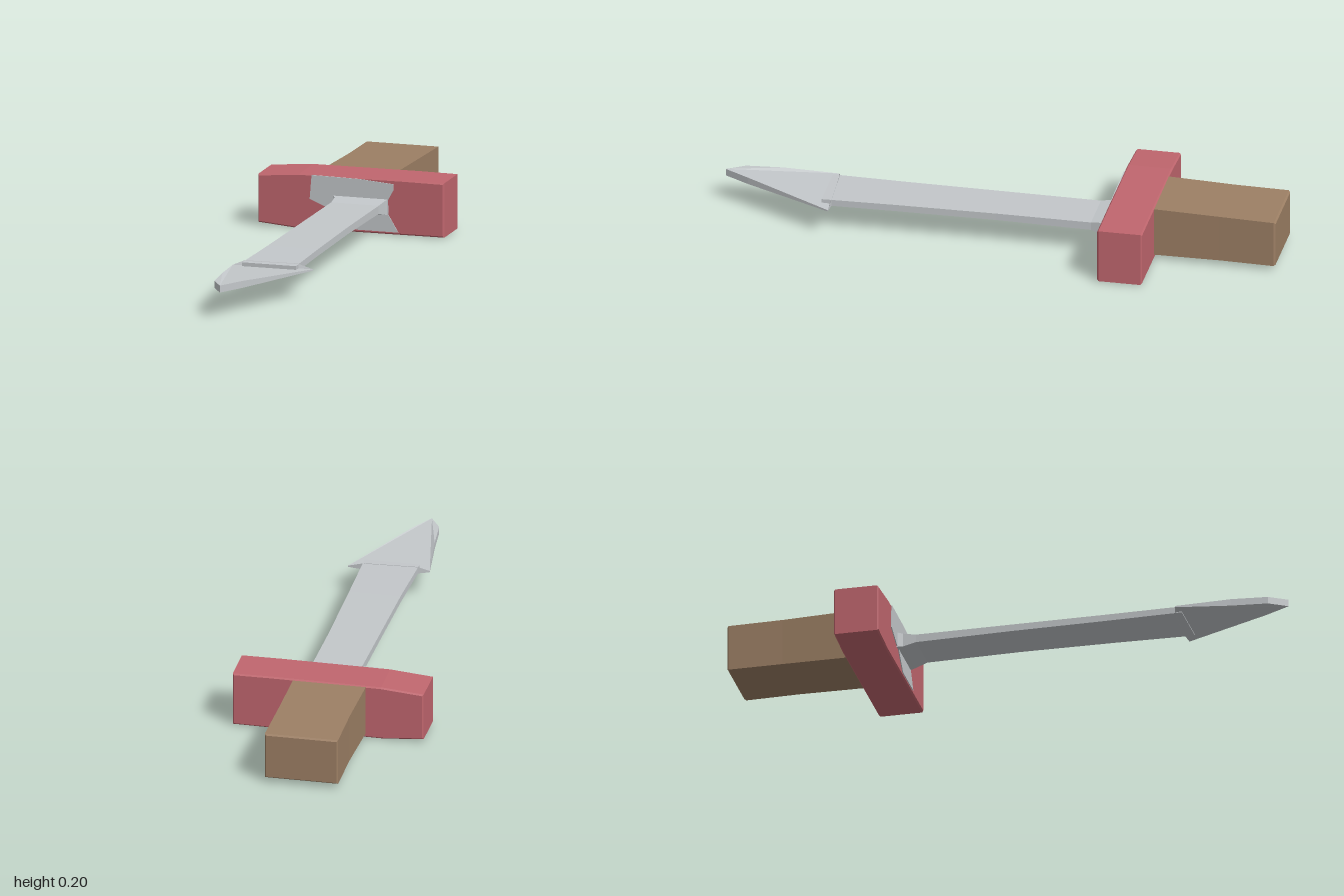
import * as THREE from 'three';

const flat = (name, color) => {
  const m = new THREE.MeshStandardMaterial({ color, flatShading: true });
  m.name = name;
  return m;
};

// Closed solid from rectangular sections [z, xMin, xMax, yMin, yMax], ordered by rising z
function loft(sections) {
  const pos = [], idx = [];
  for (const [z, x0, x1, y0, y1] of sections)
    pos.push(x0, y0, z, x1, y0, z, x1, y1, z, x0, y1, z);
  const last = (sections.length - 1) * 4;
  for (let s = 0; s < last; s += 4)
    for (let i = 0; i < 4; i++) {
      const a = s + i, b = s + (i + 1) % 4;
      idx.push(a, b, b + 4, a, b + 4, a + 4);
    }
  idx.push(0, 2, 1, 0, 3, 2, last, last + 1, last + 2, last, last + 2, last + 3);
  const g = new THREE.BufferGeometry();
  g.setAttribute('position', new THREE.Float32BufferAttribute(pos, 3));
  g.setIndex(idx);
  g.computeVertexNormals();
  return g;
}

const shapeOf = pts => new THREE.Shape(pts.map(([x, y]) => new THREE.Vector2(x, y)));

export function createModel() {
  const group = new THREE.Group();
  const steel = flat('steel grey', 0xc3c7ca);
  const red = flat('guard red', 0xc0666e);
  const brown = flat('grip brown', 0x9c7f64);
  const add = (name, geometry, material) => {
    const mesh = new THREE.Mesh(geometry, material);
    mesh.name = name;
    group.add(mesh);
    return mesh;
  };

  // Grip: slightly uneven block with a softened end
  add('grip', loft([
    [-1, -0.126, 0.126, 0.024, 0.182],
    [-0.994, -0.131, 0.131, 0.019, 0.187],
    [-0.8, -0.13, 0.127, 0.02, 0.19],
    [-0.55, -0.137, 0.124, 0.017, 0.195],
  ]), brown);

  // Guard: crossbar narrowing toward one end
  const guard = new THREE.ExtrudeGeometry(shapeOf([
    [-0.343, 0.013], [-0.2, 0.001], [0.34, 0.004],
    [0.34, 0.199], [0.2, 0.2], [-0.19, 0.198], [-0.343, 0.185],
  ]), { depth: 0.15, bevelThickness: 0.005, bevelSize: 0.005, bevelOffset: -0.005, bevelSegments: 1 });
  add('guard', guard.translate(0, 0, -0.561), red);

  // Steel patch on the front of the guard, around the blade root
  const patch = new THREE.ExtrudeGeometry(shapeOf([
    [-0.145, 0.196], [-0.152, 0.11], [-0.07, 0.076], [-0.045, 0.072], [0.02, 0.012],
    [0.173, 0.012], [0.137, 0.073], [0.135, 0.125], [0.155, 0.162], [0.155, 0.184], [0.03, 0.194],
  ]), { depth: 0.004, bevelEnabled: false });
  add('bladePatch', patch.translate(0, 0, -0.407), steel);

  // Blade: flared root running into a thin shank
  add('blade', loft([
    [-0.41, -0.068, 0.136, 0.072, 0.129],
    [-0.385, -0.055, 0.13, 0.077, 0.126],
    [-0.34, -0.052, 0.122, 0.09, 0.119],
    [0, -0.057, 0.119, 0.093, 0.118],
    [0.35, -0.062, 0.122, 0.093, 0.117],
    [0.62, -0.071, 0.126, 0.092, 0.115],
  ]), steel);

  // Arrow-shaped tip, laid flat
  const head = new THREE.ExtrudeGeometry(shapeOf([
    [-0.11, -0.605], [-0.085, -0.8], [-0.073, -0.93], [-0.033, -0.995],
    [0.018, -0.905], [0.178, -0.588], [0.12, -0.585], [-0.07, -0.595],
  ]), { depth: 0.025, bevelEnabled: false });
  head.rotateX(-Math.PI / 2).translate(0, 0.092, 0);
  // Thin out the two barbs
  const p = head.attributes.position;
  for (let i = 0; i < p.count; i++)
    if (p.getX(i) > 0.15 || p.getX(i) < -0.1) p.setY(i, 0.098 + (p.getY(i) - 0.104) * 0.2);
  head.computeVertexNormals();
  add('bladeTip', head, steel);

  return group;
}
